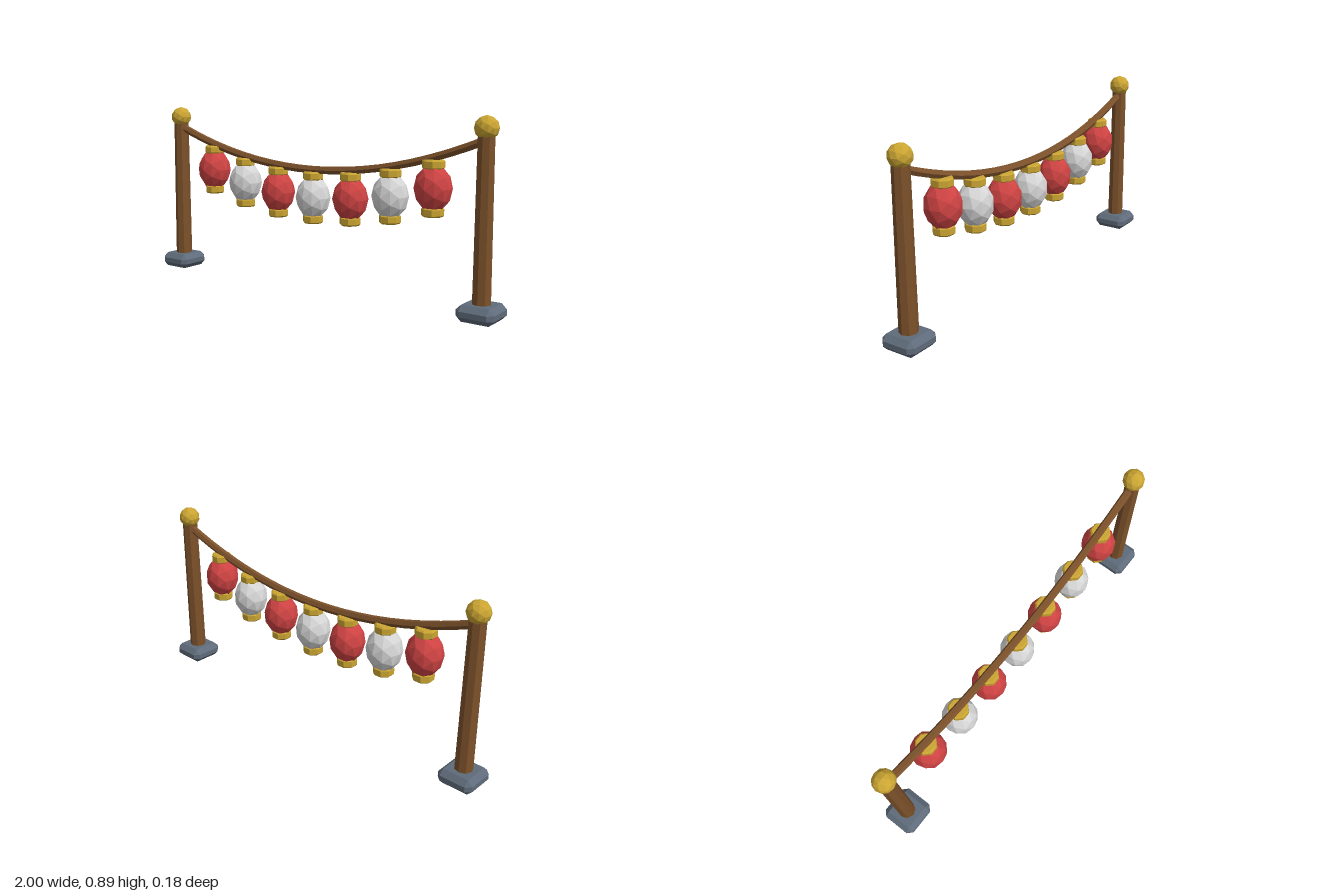
import * as THREE from 'three';
import { ConvexGeometry } from 'three/addons/geometries/ConvexGeometry.js';

const POST_X = 0.91;
const ropeY = (x) => 0.598 + 0.22 * x * x;

// Facet a geometry so every face has its own normal
function faceted(geometry) {
  const g = geometry.index ? geometry.toNonIndexed() : geometry;
  g.computeVertexNormals();
  return g;
}

// Box with all its edges and corners cut by c
function chamferedBox(w, h, d, c) {
  const points = [];
  for (const sx of [-1, 1]) for (const sy of [-1, 1]) for (const sz of [-1, 1]) {
    const x = w / 2, y = h / 2, z = d / 2;
    points.push(
      new THREE.Vector3(sx * x, sy * (y - c), sz * (z - c)),
      new THREE.Vector3(sx * (x - c), sy * y, sz * (z - c)),
      new THREE.Vector3(sx * (x - c), sy * (y - c), sz * z),
    );
  }
  return new ConvexGeometry(points);
}

// Eight-sided cap with small bevels, centred on the origin
function capGeometry(r, h, b) {
  const profile = [
    [0.0001, -h / 2], [r - b, -h / 2], [r, -h / 2 + b],
    [r, h / 2 - b], [r - b, h / 2], [0.0001, h / 2],
  ].map(([x, y]) => new THREE.Vector2(x, y));
  return faceted(new THREE.LatheGeometry(profile, 8, Math.PI / 8));
}

export function createModel() {
  const material = (name, color) => {
    const m = new THREE.MeshStandardMaterial({ color });
    m.name = name;
    return m;
  };
  const wood = material('brown wood', 0x7d522b);
  const stone = material('slate stone', 0x5f6b7a);
  const gold = material('gold', 0xcba532);
  const red = material('red paper', 0xcf4343);
  const white = material('white paper', 0xd6d6d6);

  const model = new THREE.Group();
  model.name = 'lanternGarland';

  function add(parent, name, geometry, mat, x, y) {
    const mesh = new THREE.Mesh(geometry, mat);
    mesh.name = name;
    mesh.position.set(x, y, 0);
    parent.add(mesh);
  }

  // Posts with stone feet and faceted finials
  const footGeo = chamferedBox(0.18, 0.075, 0.18, 0.025);
  const postGeo = faceted(new THREE.CylinderGeometry(0.0385, 0.043, 0.75, 8));
  const finialGeo = faceted(new THREE.IcosahedronGeometry(0.054, 1));
  for (const side of [-1, 1]) {
    const post = new THREE.Group();
    post.name = side > 0 ? 'leftPost' : 'rightPost';
    post.position.x = side * POST_X;
    add(post, 'foot', footGeo, stone, 0, 0.0375);
    add(post, 'pole', postGeo, wood, 0, 0.435);
    add(post, 'finial', finialGeo, gold, 0, 0.832);
    model.add(post);
  }

  // Sagging rope between the posts
  const path = [];
  for (let i = 0; i <= 16; i++) {
    const x = POST_X * (i / 8 - 1);
    path.push(new THREE.Vector3(x, ropeY(x), 0));
  }
  const curve = new THREE.CatmullRomCurve3(path);
  add(model, 'rope', faceted(new THREE.TubeGeometry(curve, 20, 0.02, 6)), wood, 0, 0);

  // Seven lanterns, alternating red and white
  const bodyGeo = faceted(new THREE.IcosahedronGeometry(0.0865, 1).scale(1, 1.24, 1));
  const capGeo = capGeometry(0.051, 0.042, 0.007);
  for (let i = -3; i <= 3; i++) {
    const x = i * 0.221;
    const lantern = new THREE.Group();
    lantern.name = 'lantern' + (i + 4);
    lantern.position.set(x, ropeY(x) - 0.136, 0);
    add(lantern, 'lanternBody', bodyGeo, i % 2 ? red : white, 0, 0);
    add(lantern, 'topCap', capGeo, gold, 0, 0.106);
    add(lantern, 'bottomCap', capGeo, gold, 0, -0.106);
    model.add(lantern);
  }

  return model;
}
